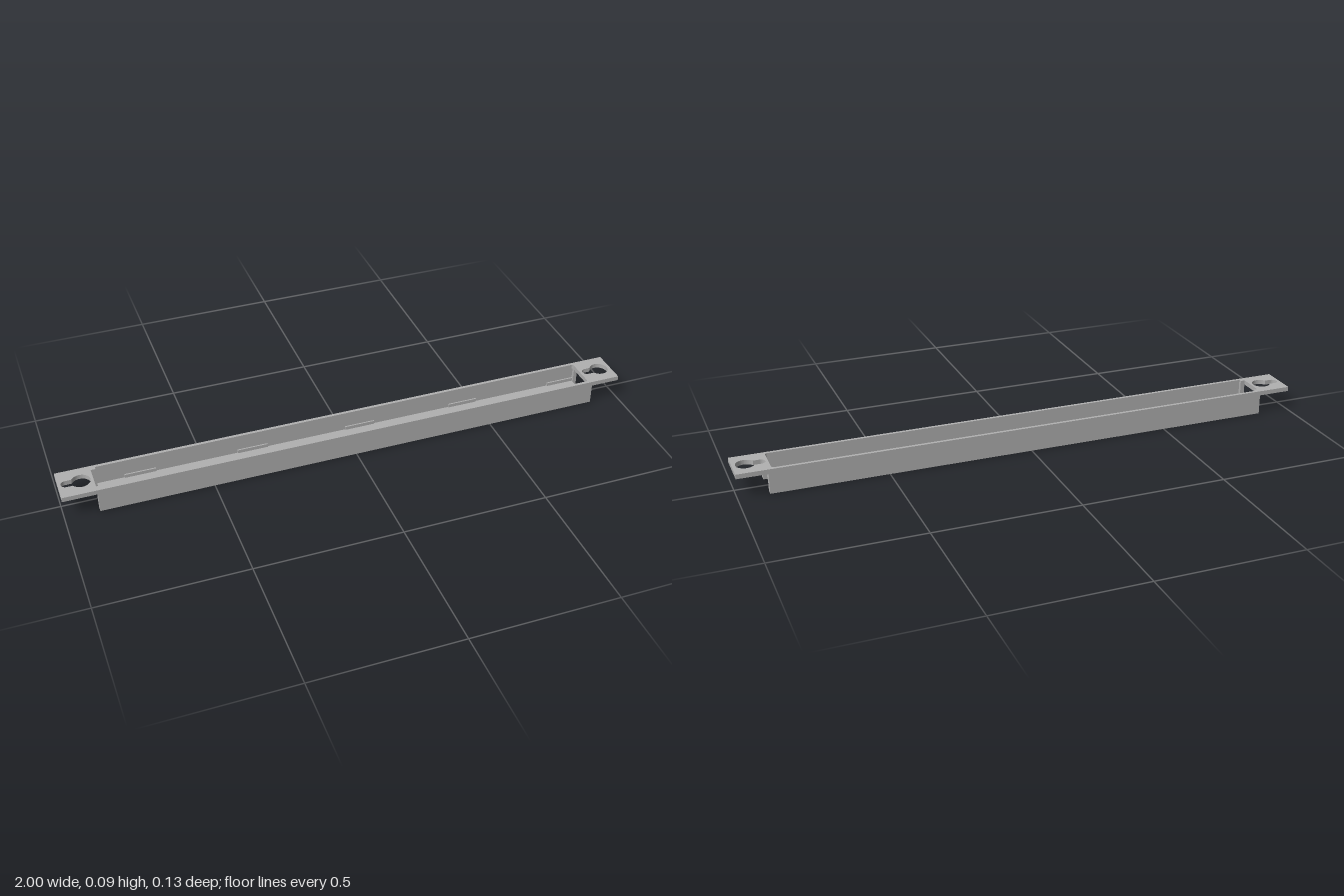
import * as THREE from 'three';

export function createModel() {
  const group = new THREE.Group();
  const grey = new THREE.MeshStandardMaterial({ color: 0xb0b0b0 });
  grey.name = 'grey';

  const W = 0.067, WALL = 0.056, POST = 0.045; // half widths
  const FLOOR = 0.018, PLATE = 0.07, TOP = 0.086; // heights
  const L = -0.884, R = 0.896, CL = -0.868, CR = 0.883; // body and cavity ends

  const outline = pts => new THREE.Shape(pts.map(p => new THREE.Vector2(...p)));

  // Extrude a plan outline upwards between two heights
  function slab(name, shape, y0, y1) {
    const geo = new THREE.ExtrudeGeometry(shape, { depth: y1 - y0, bevelEnabled: false, curveSegments: 16 });
    geo.rotateX(-Math.PI / 2).translate(0, y0, 0);
    const mesh = new THREE.Mesh(geo, grey);
    mesh.name = name;
    group.add(mesh);
  }

  // Keyhole with its narrow slot towards -x
  function keyhole(cx) {
    const r = 0.032, s = 0.016, a = Math.asin(s / r), end = cx - 0.049;
    const path = new THREE.Path();
    path.absarc(cx, 0, r, -Math.PI + a, Math.PI - a, false);
    path.absarc(end, 0, s, Math.PI / 2, Math.PI * 1.5, false);
    path.closePath();
    return path;
  }

  // Top frame with mounting tabs, keyholes and the long opening
  const frame = outline([[-1, -W], [1, -W], [1, W], [-1, W]]);
  const c = 0.008;
  const opening = new THREE.Path();
  opening.moveTo(CL, -WALL);
  opening.lineTo(CR - c, -WALL);
  opening.quadraticCurveTo(CR, -WALL, CR, -WALL + c);
  opening.lineTo(CR, WALL - c);
  opening.quadraticCurveTo(CR, WALL, CR - c, WALL);
  opening.lineTo(CL, WALL);
  opening.lineTo(CL, POST);
  opening.lineTo(L, POST);
  opening.lineTo(L, -POST);
  opening.lineTo(CL, -POST);
  opening.closePath();
  frame.holes.push(keyhole(-0.925), keyhole(0.957), opening);
  slab('topFrame', frame, PLATE, TOP);

  // Floor, notched between the end posts
  slab('floor', outline([
    [L, -W], [R, -W], [R, -POST], [CR, -POST], [CR, POST], [R, POST],
    [R, W], [L, W], [L, POST], [CL, POST], [CL, -POST], [L, -POST],
  ]), 0, FLOOR);

  for (const side of [-1, 1]) {
    // Side wall with an inward post at each end
    slab('sideWall', outline([
      [L, W], [R, W], [R, POST], [CR, POST], [CR, WALL], [CL, WALL], [CL, POST], [L, POST],
    ].map(([x, z]) => [x, z * side])), FLOOR, PLATE);

    // Row of low retaining ridges inside the wall
    for (let i = 0; i < 5; i++) {
      const ridge = new THREE.Mesh(new THREE.BoxGeometry(0.106, 0.012, 0.006), grey);
      ridge.position.set(-0.722 + i * 0.389, 0.025, side * (WALL - 0.002));
      ridge.name = 'retainingRidge';
      group.add(ridge);
    }
  }
  return group;
}
